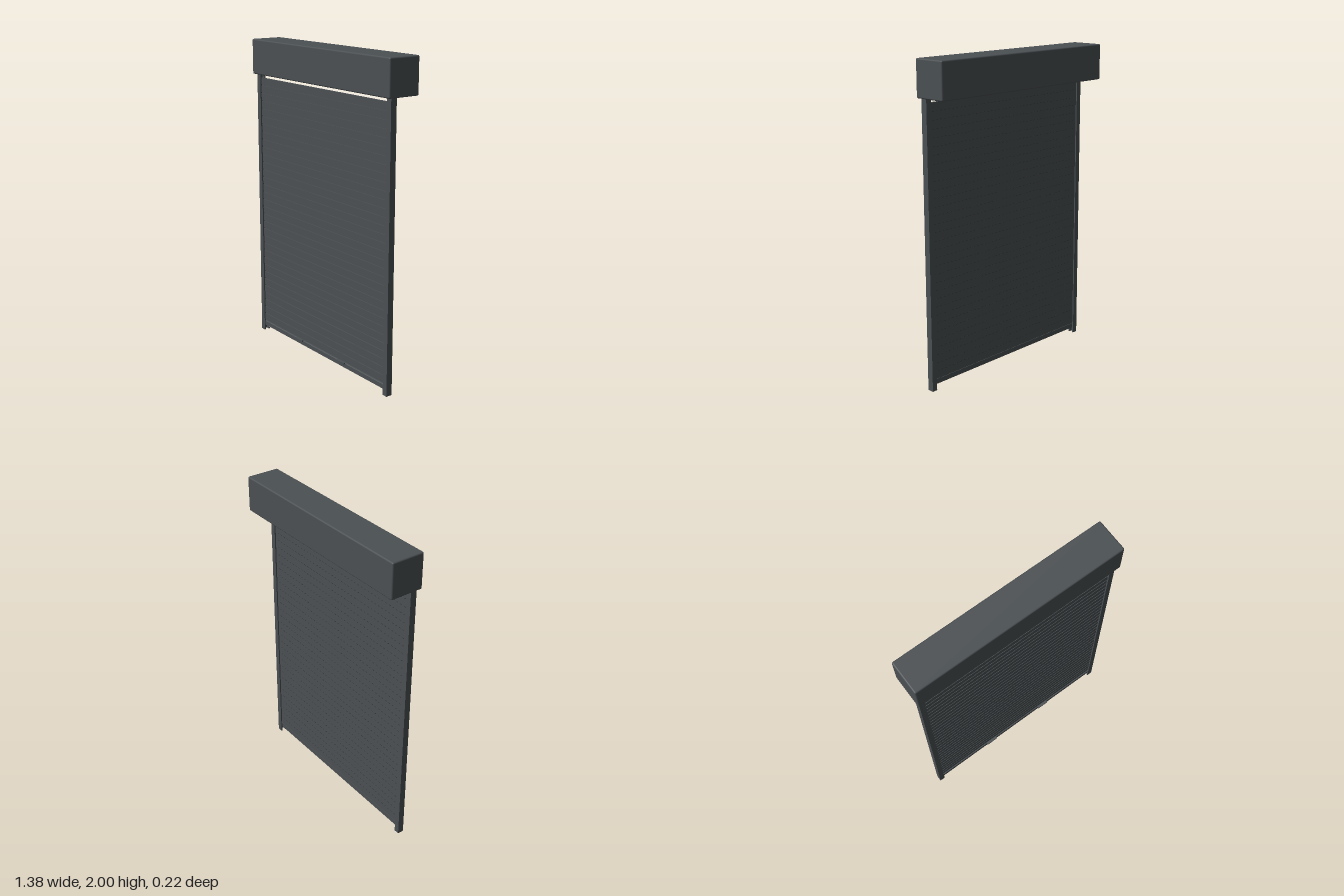
import * as THREE from 'three';
import { mergeGeometries } from 'three/addons/utils/BufferGeometryUtils.js';
import { RoundedBoxGeometry } from 'three/addons/geometries/RoundedBoxGeometry.js';

const BOTTOM = 0.066, TOP = 1.75, SLATS = 33, PITCH = (TOP - BOTTOM) / SLATS;
const BACK = 0.053, FRONT = 0.068, HALF = 0.65;

// Extrudes a (z, y) side profile along x, centred
function extrudeAcross(points, width) {
  const shape = new THREE.Shape(points.map(([z, y]) => new THREE.Vector2(z, y)));
  return new THREE.ExtrudeGeometry(shape, { depth: width, bevelEnabled: false })
    .translate(0, 0, -width / 2).rotateY(-Math.PI / 2);
}

export function createModel() {
  const group = new THREE.Group();
  const grey = new THREE.MeshStandardMaterial({ color: 0x4b5053 });
  grey.name = 'anthracite';
  const dark = new THREE.MeshStandardMaterial({ color: 0x303436 });
  dark.name = 'slot dark';
  const add = (name, geometry, material = grey) => {
    const mesh = new THREE.Mesh(geometry, material);
    mesh.name = name;
    group.add(mesh);
    return mesh;
  };

  // Housing for the rolled curtain
  add('housing', new RoundedBoxGeometry(1.38, 0.225, 0.215, 3, 0.009)).position.set(0, 1.8875, -0.0015);

  // Guide rails: U channels open towards the curtain
  for (const side of [1, -1]) {
    const outline = [[0.64, 0.04], [0.675, 0.04], [0.675, 0.08], [0.64, 0.08],
      [0.64, 0.072], [0.664, 0.072], [0.664, 0.048], [0.64, 0.048]];
    const shape = new THREE.Shape(outline.map(([x, z]) => new THREE.Vector2(side * x, -z)));
    const rail = new THREE.ExtrudeGeometry(shape, { depth: 1.78, bevelEnabled: false }).rotateX(-Math.PI / 2);
    add(side > 0 ? 'leftRail' : 'rightRail', rail);
  }

  // Curtain: flat slats with a square groove at each joint
  const profile = [[BACK, BOTTOM]];
  for (let i = 0; i < SLATS; i++) {
    const y = BOTTOM + i * PITCH;
    profile.push([FRONT - 0.006, y], [FRONT - 0.006, y + 0.009], [FRONT, y + 0.009], [FRONT, y + PITCH]);
  }
  profile.push([BACK, TOP]);
  add('curtain', extrudeAcross(profile, 2 * HALF));

  // Small slots along the joints on the back
  const slots = [];
  for (let i = 1; i < SLATS; i++) {
    for (let j = 0; j < 40; j++) {
      slots.push(new THREE.BoxGeometry(0.012, 0.003, 0.001)
        .translate(-0.615 + j * 1.23 / 39, BOTTOM + i * PITCH, BACK - 0.0003));
    }
  }
  add('jointSlots', mergeGeometries(slots), dark);

  // Bottom bar with a small lip on its front
  add('bottomBar', extrudeAcross([[0.05, 0.035], [0.073, 0.035], [0.073, 0.063], [0.07, 0.066], [0.05, 0.066]], 2 * HALF));

  // Two stops on the bottom bar
  for (const x of [-0.225, 0.225]) {
    add('stop', new THREE.BoxGeometry(0.075, 0.008, 0.014)).position.set(x, 0.064, 0.077);
  }
  return group;
}
